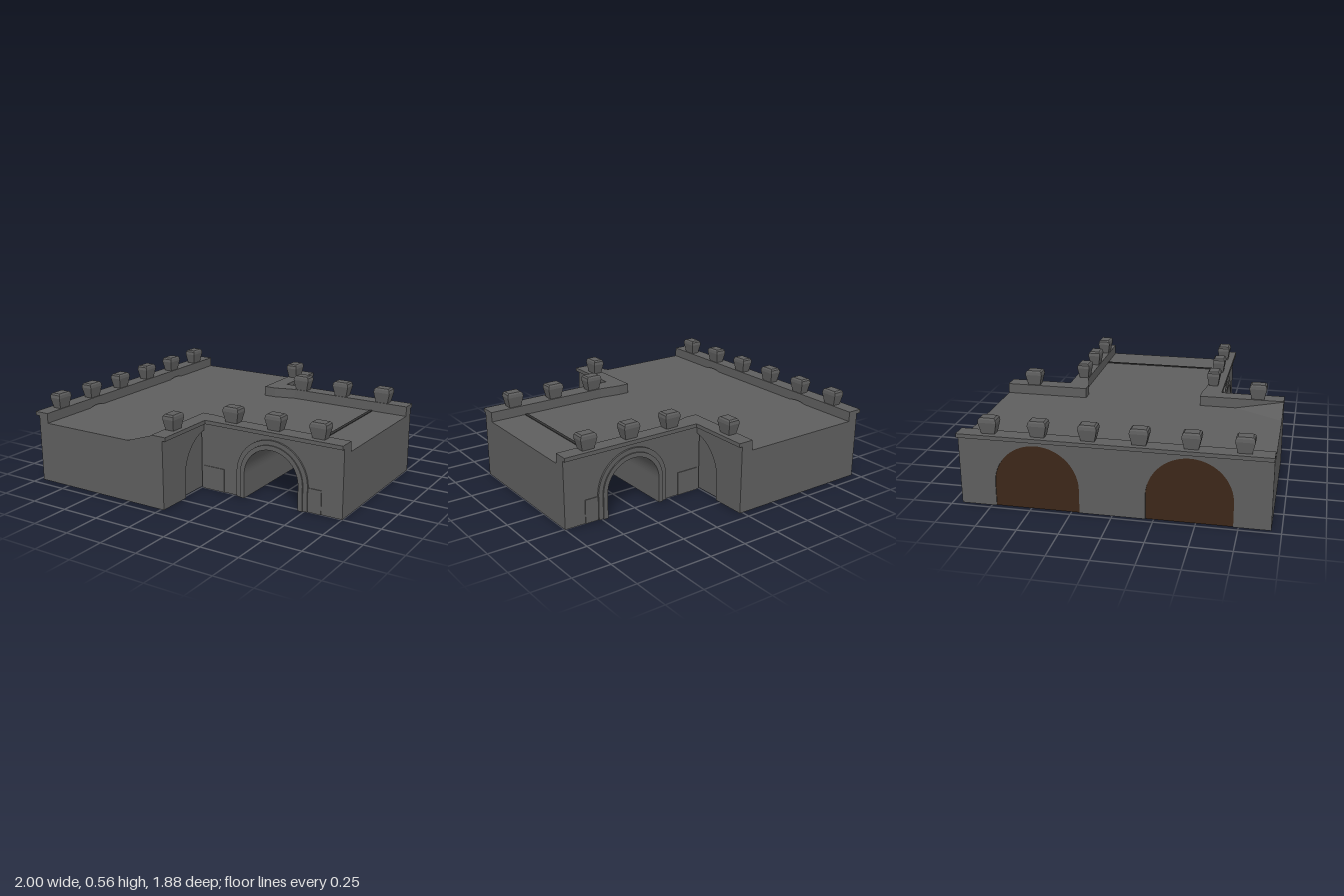
import * as THREE from 'three';
import { ConvexGeometry } from 'three/addons/geometries/ConvexGeometry.js';

const material = (name, color) => {
  const m = new THREE.MeshStandardMaterial({ color });
  m.name = name;
  return m;
};

export function createModel() {
  const stone = material('grey stone', 0x5e5e5e);
  const brown = material('brown door', 0x3c2718);
  const dark = material('dark joint', 0x333333);
  const model = new THREE.Group();

  const add = (name, geometry, mat = stone) => {
    const mesh = new THREE.Mesh(geometry, mat);
    mesh.name = name;
    model.add(mesh);
    return mesh;
  };
  const box = (name, x0, x1, y0, y1, z0, z1, mat) =>
    add(name, new THREE.BoxGeometry(x1 - x0, y1 - y0, z1 - z0), mat)
      .position.set((x0 + x1) / 2, (y0 + y1) / 2, (z0 + z1) / 2);
  const extrude = (shape, depth) =>
    new THREE.ExtrudeGeometry(shape, { depth, bevelEnabled: false, curveSegments: 24 });

  // Wall outline with arched openings cut up from the ground
  const archWall = (u0, u1, height, arches) => {
    const s = new THREE.Shape().moveTo(u0, 0);
    for (const [c, r, spring] of arches) {
      s.lineTo(c - r, 0).lineTo(c - r, spring);
      s.absarc(c, spring, r, Math.PI, 0, true);
      s.lineTo(c + r, 0);
    }
    return s.lineTo(u1, 0).lineTo(u1, height).lineTo(u0, height);
  };
  const archPanel = (r, spring) => {
    const s = new THREE.Shape().moveTo(-r, 0).lineTo(r, 0).lineTo(r, spring);
    s.absarc(0, spring, r, 0, Math.PI, false);
    return s;
  };

  // Main road and its two side walls
  box('mainRoad', -0.955, -0.01, 0, 0.4, -0.94, 0.94);
  const west = extrude(archWall(-0.94, 0.94, 0.44, [[-0.46, 0.26, 0.15], [0.46, 0.26, 0.15]]), 0.07);
  add('leftmostWall', west.rotateY(Math.PI / 2).translate(-0.97, 0, 0));
  const east = extrude(archWall(-0.94, 0.94, 0.4, [[-0.46, 0.25, 0.145], [0.46, 0.25, 0.145]]), 0.08);
  add('junctionWall', east.rotateY(Math.PI / 2).translate(-0.06, 0, 0));
  box('wallCap', -1, -0.9, 0.44, 0.465, -0.94, 0.94);

  // Closed doors in the outer wall
  for (const z of [-0.46, 0.46]) {
    const door = extrude(archPanel(0.26, 0.15), 0.008).rotateY(-Math.PI / 2);
    add('door', door.translate(-0.956, 0, z), brown);
  }

  // Road edge rising to meet the parapet at the front corner
  add('raisedRoadCorner', new ConvexGeometry([
    new THREE.Vector3(-0.25, 0.398, 0.94), new THREE.Vector3(-0.05, 0.398, 0.94),
    new THREE.Vector3(-0.05, 0.465, 0.94), new THREE.Vector3(-0.05, 0.398, 0.6),
  ]));

  // Side bridge with a vaulted passage
  const bridge = extrude(archWall(0, 1, 0.4, [[0.52, 0.19, 0.16]]), 1.005);
  add('sideBridge', bridge.translate(0, 0, -0.505));
  box('roadJoint', 0.738, 0.76, 0.4, 0.404, -0.43, 0.41, dark);

  // Two-step arch rings and plinths on both faces of the bridge
  const ring = (outer, inner, depth) => {
    const s = new THREE.Shape().moveTo(0.52 - outer, 0).lineTo(0.52 - outer, 0.16);
    s.absarc(0.52, 0.16, outer, Math.PI, 0, true);
    s.lineTo(0.52 + outer, 0).lineTo(0.52 + inner, 0).lineTo(0.52 + inner, 0.16);
    s.absarc(0.52, 0.16, inner, 0, Math.PI, false);
    s.lineTo(0.52 - inner, 0);
    return extrude(s, depth);
  };
  for (const [side, face] of [[1, 0.5], [-1, -0.505]]) {
    for (const [outer, inner, depth] of [[0.25, 0.22, 0.012], [0.22, 0.19, 0.02]]) {
      add('archRing', ring(outer, inner, depth).translate(0, 0, side > 0 ? face : face - depth));
    }
    for (const [a, b] of [[0.02, 0.17], [0.77, 0.86]]) {
      box('plinth', a, b, 0, 0.155, face - 0.005, face + 0.005);
    }
  }

  // L-shaped parapets and their overhanging caps
  const parapet = (edge, inner, outer, over) => {
    const s = new THREE.Shape();
    const x = 0.02 + over;
    const z = outer + Math.sign(edge) * over;
    const corner = Math.sign(edge) * 0.39;
    s.setFromPoints([
      [-0.06, edge], [x, edge], [x, z], [1, z], [1, inner], [0.16, inner], [0.02, corner], [-0.06, corner],
    ].map(([px, pz]) => new THREE.Vector2(px, -pz)));
    return s;
  };
  for (const [edge, inner, outer] of [[0.94, 0.41, 0.5], [-0.94, -0.43, -0.505]]) {
    add('parapet', extrude(parapet(edge, inner, outer, 0), 0.045)
      .rotateX(-Math.PI / 2).translate(0, 0.397, 0));
    add('parapetCap', extrude(parapet(edge, inner, outer, 0.022), 0.025)
      .rotateX(-Math.PI / 2).translate(0, 0.44, 0));
  }

  // Flared square blocks along every parapet
  const profile = [[0, 0], [0.72, 0], [1, 0.07], [0.94, 0.09], [0.76, 0.1], [0, 0.1]]
    .map(([r, y]) => new THREE.Vector2(r * Math.SQRT2, y));
  const merlonGeometry = new THREE.LatheGeometry(profile, 4).rotateY(Math.PI / 4).toNonIndexed();
  merlonGeometry.computeVertexNormals();
  const merlon = (x, z, halfX, halfZ) => {
    const m = add('merlon', merlonGeometry);
    m.position.set(x, 0.465, z);
    m.scale.set(halfX, 1, halfZ);
  };
  for (let i = 0; i < 6; i++) merlon(-0.935, 0.77 - i * 0.304, 0.04, 0.057);
  for (const x of [0.21, 0.515, 0.82]) {
    merlon(x, 0.45, 0.057, 0.042);
    merlon(x, -0.465, 0.057, 0.042);
  }
  for (const z of [-0.76, 0.77]) merlon(-0.02, z, 0.04, 0.057);

  return model;
}
